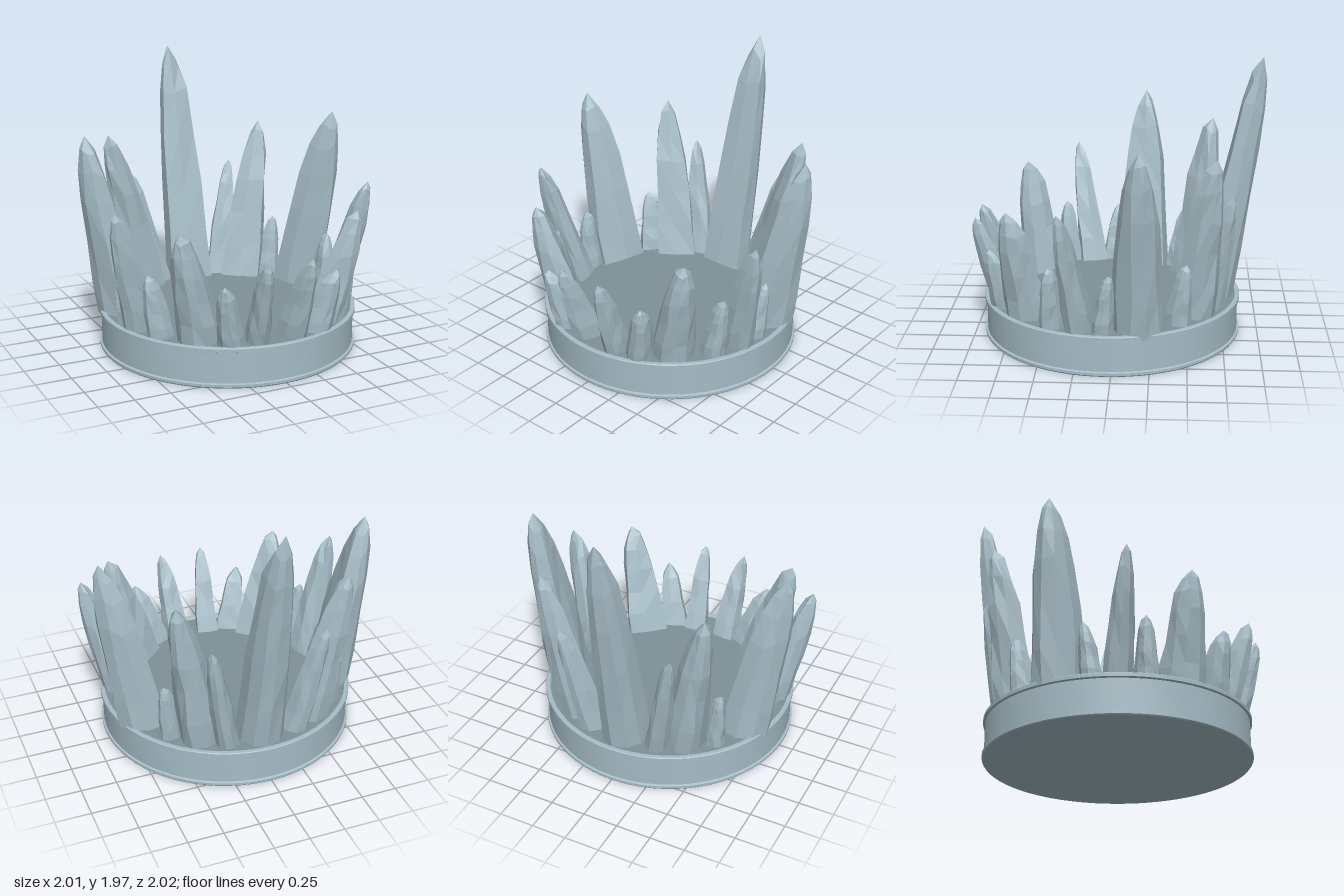
import * as THREE from 'three';
import { toCreasedNormals } from 'three/addons/utils/BufferGeometryUtils.js';

const CENTRE_Z = 0.035; // centre of the round band
const BASE_Y = 0.25;

// Seeded random numbers for the rough crystal facets
function makeRandom(seed) {
  let s = seed * 7919 + 17;
  return () => {
    s = (s * 16807) % 2147483647;
    return s / 2147483647;
  };
}

// Cross-section: broad flat inner face, narrow ridge outside (tangent, radial)
const SECTION = [[-1, -0.95], [0.1, -1], [1, -0.9], [0.95, 0.1], [0.55, 0.75], [-0.1, 1], [-0.65, 0.7], [-1, 0]];
// Height fraction and thickness of each ring
const RINGS = [[0, 1], [0.2, 0.94], [0.42, 0.85], [0.63, 0.74], [0.8, 0.59], [0.925, 0.36], [1, 0]];

// A faceted crystal from base centre to tip; side -1 mirrors it
function crystalGeometry({ base, tip, w, d, jitter = 0.09 }, seed, side) {
  const rnd = makeRandom(seed);
  const a = Math.atan2(base[0], base[1] - CENTRE_Z);
  const n = SECTION.length;
  const rings = RINGS.map(([t, s], k) => SECTION.map(([u, v]) => {
    const wob = k === 0 ? 0 : jitter;
    const pu = w * s * (u + (rnd() - 0.5) * 2 * wob);
    const pv = d * s * (v + (rnd() - 0.5) * 2 * wob);
    const drop = s > 0 && k > 0 ? (rnd() - 0.5) * 0.05 : 0;
    const x = base[0] + (tip[0] - base[0]) * t + pu * Math.cos(a) + pv * Math.sin(a);
    const z = base[1] + (tip[2] - base[1]) * t - pu * Math.sin(a) + pv * Math.cos(a);
    return [x * side, BASE_Y + (tip[1] - BASE_Y) * (t + drop), z];
  }));
  const pos = [];
  const tri = (p, q, r) => pos.push(...p, ...(side > 0 ? q : r), ...(side > 0 ? r : q));
  for (let k = 0; k < rings.length - 1; k++) {
    for (let i = 0; i < n; i++) {
      const j = (i + 1) % n;
      const lo = rings[k], hi = rings[k + 1];
      tri(lo[i], hi[i], lo[j]);
      if (k < rings.length - 2) tri(lo[j], hi[i], hi[j]);
    }
  }
  const g = new THREE.BufferGeometry();
  g.setAttribute('position', new THREE.Float32BufferAttribute(pos, 3));
  g.computeVertexNormals(); // unshared corners give flat facets
  return g;
}

// Paired crystals from back to front: base [x, z], tip [x, y, z], half width, half depth
const CRYSTALS = [
  { name: 'backSlimCrystal', base: [0.25, -0.67], tip: [0.41, 1.09, -0.79], w: 0.085, d: 0.09 },
  { name: 'backTallCrystal', base: [0.41, -0.56], tip: [0.605, 1.4, -0.68], w: 0.14, d: 0.13 },
  { name: 'backSmallCrystal', base: [0.59, -0.45], tip: [0.64, 0.69, -0.49], w: 0.075, d: 0.08 },
  { name: 'sideTallCrystal', base: [0.735, -0.2], tip: [0.96, 1.53, -0.18], w: 0.17, d: 0.145 },
  { name: 'sideSmallCrystal', base: [0.765, 0.06], tip: [0.82, 0.67, 0.02], w: 0.075, d: 0.075 },
  { name: 'sideSlimCrystal', base: [0.75, 0.22], tip: [0.955, 1.12, 0.34], w: 0.095, d: 0.11 },
  { name: 'frontSmallCrystal', base: [0.69, 0.41], tip: [0.765, 0.7, 0.42], w: 0.08, d: 0.085 },
  { name: 'frontTallCrystal', base: [0.49, 0.6], tip: [0.655, 1.04, 0.7], w: 0.14, d: 0.125 },
  { name: 'frontShortCrystal', base: [0.32, 0.755], tip: [0.41, 0.7, 0.85], w: 0.095, d: 0.1 },
  { name: 'frontInnerCrystal', base: [0.135, 0.78], tip: [0.16, 0.85, 0.98], w: 0.08, d: 0.1 },
];

export function createModel() {
  const model = new THREE.Group();
  model.name = 'crystalCrown';

  const ice = new THREE.MeshStandardMaterial({ color: 0xa6bcc6 });
  ice.name = 'pale ice blue';
  const slate = new THREE.MeshStandardMaterial({ color: 0x7f9098 });
  slate.name = 'slate blue';

  const add = (name, geometry, material) => {
    const mesh = new THREE.Mesh(geometry, material);
    mesh.name = name;
    model.add(mesh);
    return mesh;
  };

  // Round band with a raised lip at the top and bottom
  const profile = [
    [0.9, 0], [0.906, 0.008], [0.906, 0.026], [0.892, 0.032], [0.892, 0.246],
    [0.906, 0.252], [0.906, 0.275], [0.9, 0.28], [0.875, 0.28], [0.865, 0.26],
  ].map(([x, y]) => new THREE.Vector2(x, y));
  const band = add('band', toCreasedNormals(new THREE.LatheGeometry(profile, 72), 0.5), ice);
  band.position.z = CENTRE_Z;

  // Floor inside the band and the flat underside
  const floor = add('floor', new THREE.CircleGeometry(0.868, 72).rotateX(-Math.PI / 2), slate);
  floor.position.set(0, 0.262, CENTRE_Z);
  const underside = add('underside', new THREE.CircleGeometry(0.9, 72).rotateX(Math.PI / 2), ice);
  underside.position.z = CENTRE_Z;

  // Tallest crystal at the back
  const tallest = { base: [0, -0.685], tip: [0, 1.965, -0.995], w: 0.16, d: 0.135, jitter: 0.05 };
  add('tallestCrystal', crystalGeometry(tallest, 3, 1), ice);

  // Mirrored pairs around the band
  CRYSTALS.forEach((c, i) => {
    add(c.name + 'Left', crystalGeometry(c, i + 11, 1), ice);
    add(c.name + 'Right', crystalGeometry(c, i + 11, -1), ice);
  });

  return model;
}
